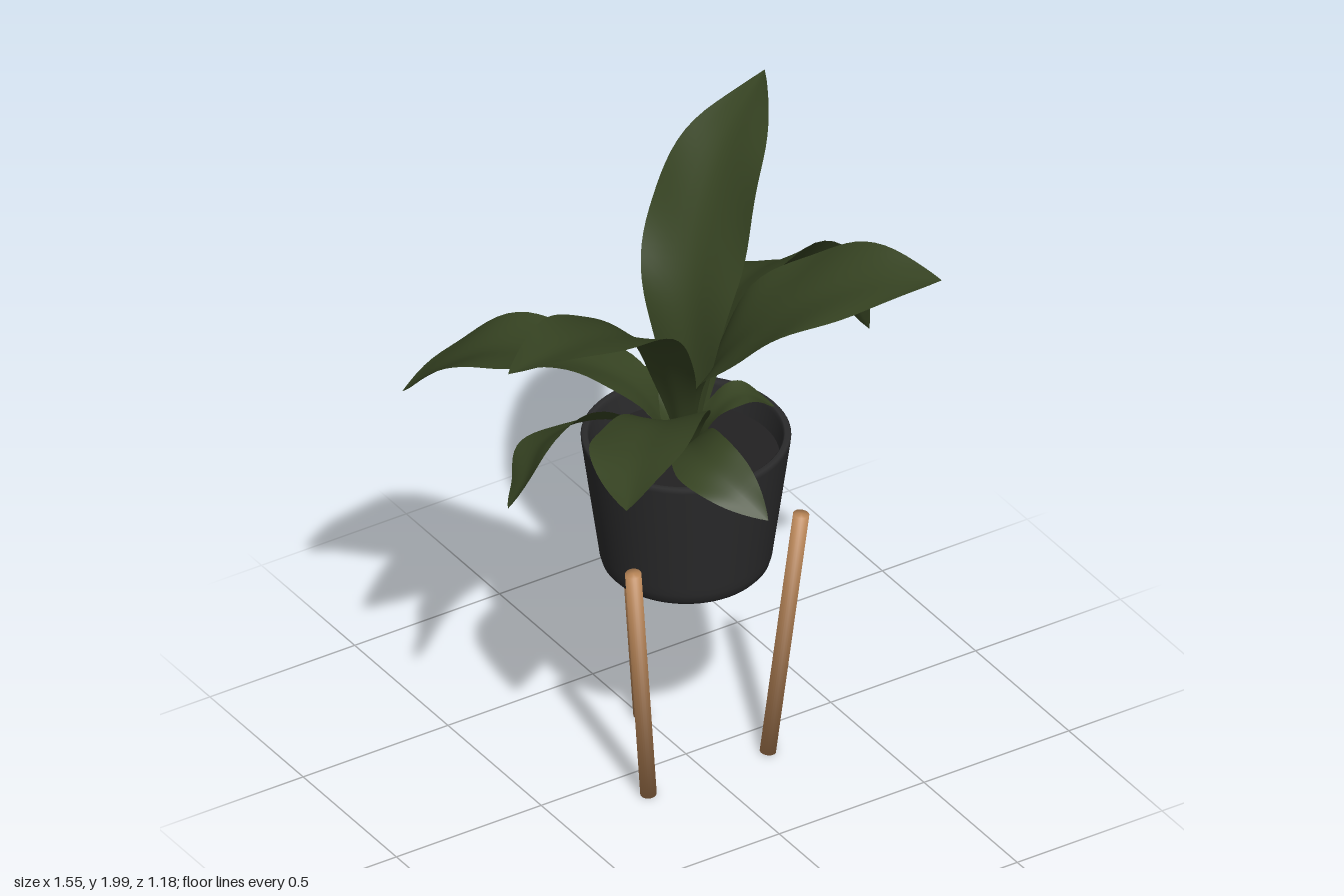
import * as THREE from 'three';

const mat = (name, color, side = THREE.FrontSide) => {
  const m = new THREE.MeshStandardMaterial({ color, side });
  m.name = name;
  return m;
};
const V = (p) => new THREE.Vector3(...p);
const lathe = (points, segments) => new THREE.LatheGeometry(points.map((p) => new THREE.Vector2(...p)), segments);

// Leaf blade: folded cross-sections swept along a spine; heading sets which way the blade faces
function leafGeometry({ spine, width, roll = 0, heading, fold = 0.16 }) {
  const curve = new THREE.CatmullRomCurve3(spine.map(V));
  const first = spine[0], last = spine[spine.length - 1];
  const h = heading ? V(heading) : new THREE.Vector3(last[0] - first[0], 0, last[2] - first[2]);
  h.normalize();
  const flat = new THREE.Vector3(-h.z, 0, h.x);
  const rows = 36, cols = 10, pos = [], index = [];
  for (let i = 0; i <= rows; i++) {
    const t = i / rows;
    const p = curve.getPointAt(t), tangent = curve.getTangentAt(t);
    const side = flat.clone().applyAxisAngle(h, roll * Math.min(1, t * 2.5));
    const up = new THREE.Vector3().crossVectors(side, tangent).normalize();
    const w = 0.5 * width * Math.pow(Math.max(0, Math.sin(Math.PI * Math.pow(t, 1.42))), 0.92) + 0.016 * (1 - t);
    for (let j = 0; j <= cols; j++) {
      const u = (j / cols) * 2 - 1;
      const wave = 0.07 * u * u * Math.sin(t * 17 + u * 1.5 + width * 40);
      const lift = w * (fold * (Math.sqrt(u * u + 0.02) - 0.14) + wave);
      pos.push(...p.clone().addScaledVector(side, u * w).addScaledVector(up, lift).toArray());
    }
  }
  for (let i = 0; i < rows; i++) {
    for (let j = 0; j < cols; j++) {
      const a = i * (cols + 1) + j, c = a + cols + 1;
      index.push(a, a + 1, c, a + 1, c + 1, c);
    }
  }
  const g = new THREE.BufferGeometry();
  g.setAttribute('position', new THREE.Float32BufferAttribute(pos, 3));
  g.setIndex(index);
  g.computeVertexNormals();
  return g;
}

// Round leg whose normals blend smoothly from the lower cap over the side to the upper cap
function legGeometry(radius, length) {
  const g = lathe([[0, 0], [radius, 0], [radius, length], [0, length]], 24);
  const { position, normal } = g.attributes;
  for (let i = 0; i < position.count; i++) {
    const n = V([position.getX(i) / radius, position.getY(i) > 0 ? 1 : -1, position.getZ(i) / radius]).normalize();
    normal.setXYZ(i, n.x, n.y, n.z);
  }
  return g;
}

const LEAVES = {
  tallBackLeaf: { spine: [[0.01, 1.03, 0], [0.02, 1.3, -0.02], [0.07, 1.55, -0.07], [0.17, 1.74, -0.16], [0.31, 1.88, -0.26], [0.51, 1.995, -0.37]], width: 0.35, heading: [0.82, 0, -0.45], roll: -0.24 },
  tallFrontLeaf: { spine: [[0.01, 1.03, 0.01], [0.04, 1.3, 0.04], [0.1, 1.5, 0.14], [0.21, 1.65, 0.28], [0.36, 1.75, 0.43], [0.51, 1.79, 0.58]], width: 0.36, roll: 0.25 },
  tallSideLeaf: { spine: [[-0.01, 1.03, 0.01], [-0.06, 1.28, 0.03], [-0.14, 1.47, 0.07], [-0.26, 1.61, 0.11], [-0.46, 1.7, 0.17], [-0.775, 1.74, 0.25]], width: 0.31, roll: 0.1 },
  archedBackLeaf: { spine: [[-0.01, 1.03, -0.01], [-0.1, 1.25, -0.1], [-0.24, 1.34, -0.22], [-0.41, 1.34, -0.39], [-0.53, 1.26, -0.5], [-0.6, 1.15, -0.59]], width: 0.36, roll: 0.18 },
  droopingSideLeaf: { spine: [[0.02, 1.03, -0.01], [0.14, 1.23, -0.13], [0.32, 1.33, -0.27], [0.53, 1.36, -0.31], [0.69, 1.26, -0.28], [0.775, 1.08, -0.22]], width: 0.33, roll: -0.55 },
  archedFrontLeaf: { spine: [[-0.01, 1.03, 0.01], [-0.11, 1.25, 0.11], [-0.22, 1.35, 0.21], [-0.37, 1.37, 0.33], [-0.54, 1.33, 0.52]], width: 0.31, roll: 0.24 },
  lowSideLeaf: { spine: [[-0.01, 1.03, 0], [-0.15, 1.17, -0.07], [-0.3, 1.2, -0.11], [-0.44, 1.19, -0.09], [-0.56, 1.15, 0], [-0.66, 1.13, 0.07]], width: 0.19, roll: 0.6 },
  lowFrontLeaf: { spine: [[-0.02, 1.03, 0.02], [-0.07, 1.18, 0.13], [-0.12, 1.22, 0.28], [-0.1, 1.19, 0.41], [-0.05, 1.12, 0.52]], width: 0.17, roll: 0.5 },
  smallRightLeaf: { spine: [[0.01, 1.03, 0], [0.07, 1.18, 0.03], [0.16, 1.23, 0.06], [0.25, 1.17, 0.09]], width: 0.11 },
  smallBackLeaf: { spine: [[0, 1.03, -0.01], [-0.03, 1.17, -0.08], [-0.06, 1.23, -0.17], [-0.08, 1.17, -0.28]], width: 0.13 },
};

export function createModel() {
  const model = new THREE.Group();
  model.name = 'pottedPlant';
  const potMat = mat('charcoal pot', 0x2a2a2b);
  const soilMat = mat('dark soil', 0x222122);
  const woodMat = mat('wood', 0xb98658);
  const leafMat = mat('leaf green', 0x364322, THREE.DoubleSide);
  const add = (name, geometry, material, parent = model) => {
    const mesh = new THREE.Mesh(geometry, material);
    mesh.name = name;
    parent.add(mesh);
    return mesh;
  };

  // Pot: tapered, rounded foot, thin rim, hollow inside
  const profile = [[0, 0.667], [0.2, 0.667], [0.215, 0.668], [0.232, 0.676], [0.245, 0.691], [0.252, 0.715],
    [0.255, 0.74], [0.28, 0.92], [0.305, 1.105], [0.306, 1.115], [0.302, 1.12], [0.288, 1.12], [0.284, 1.117],
    [0.282, 1.105], [0.274, 1.05], [0.268, 1.0]];
  add('pot', lathe(profile, 64), potMat);

  // Soil surface
  add('soil', new THREE.CylinderGeometry(0.274, 0.27, 0.03, 48), soilMat).position.y = 1.025;

  // Three splayed legs around the pot
  const legs = new THREE.Group();
  legs.name = 'legs';
  model.add(legs);
  for (let i = 0; i < 3; i++) {
    const a = Math.PI + (i * Math.PI * 2) / 3;
    const foot = V([Math.sin(a) * 0.238, 0.003, Math.cos(a) * 0.238]);
    const top = V([Math.sin(a) * 0.335, 0.825, Math.cos(a) * 0.335]);
    const dir = top.clone().sub(foot);
    const leg = add('leg' + (i + 1), legGeometry(0.024, dir.length()), woodMat, legs);
    leg.position.copy(foot);
    leg.quaternion.setFromUnitVectors(new THREE.Vector3(0, 1, 0), dir.normalize());
  }

  // Leaves
  const leaves = new THREE.Group();
  leaves.name = 'leaves';
  model.add(leaves);
  for (const [name, spec] of Object.entries(LEAVES)) add(name, leafGeometry(spec), leafMat, leaves);

  return model;
}
